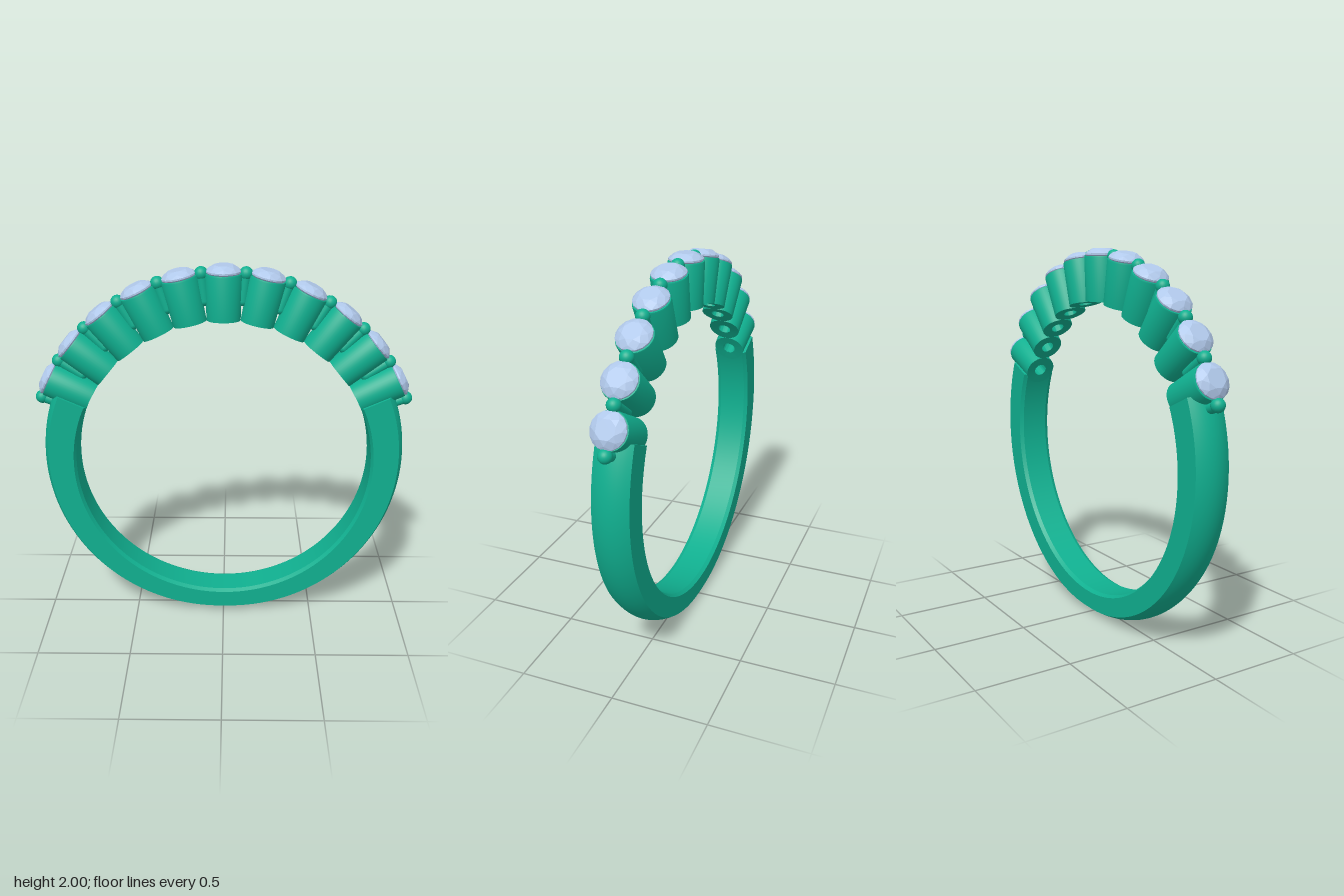
import * as THREE from 'three';
import { toCreasedNormals } from 'three/addons/utils/BufferGeometryUtils.js';
import { ConvexGeometry } from 'three/addons/geometries/ConvexGeometry.js';

const CENTRE_Y = 0.932;      // centre of the finger hole
const INNER = 0.793;         // finger hole radius
const STEP = THREE.MathUtils.degToRad(12.6);  // angle between stones
const STONES = 11;
const END = THREE.MathUtils.degToRad(65.5);   // where the band meets the end settings

// Band cross-section as [radius, z], flat inside, domed outside
function bandSection(outer) {
  const pts = [[INNER, -0.075], [INNER, 0.075], [INNER + 0.012, 0.096]];
  const n = 10;
  for (let i = 0; i <= n; i++) {
    const u = 1 - 2 * i / n;
    pts.push([outer - 0.032 * u * u, 0.096 * u]);
  }
  pts.push([INNER + 0.012, -0.096]);
  return pts;
}

// Open band sweeping under the finger, thicker towards its ends
function bandGeometry() {
  const rings = 120, pos = [], idx = [];
  let m = 0;
  for (let i = 0; i <= rings; i++) {
    const a = END + (2 * Math.PI - 2 * END) * i / rings;
    const t = Math.abs(2 * i / rings - 1);
    const section = bandSection(0.93 + 0.05 * t);
    m = section.length;
    for (const [r, z] of section) pos.push(Math.sin(a) * r, Math.cos(a) * r, z);
  }
  for (let i = 0; i < rings; i++) {
    for (let j = 0; j < m; j++) {
      const p = i * m + j, q = i * m + (j + 1) % m;
      idx.push(p, p + m, q, q, p + m, q + m);
    }
  }
  // End caps
  const last = rings * m;
  for (let j = 1; j < m - 1; j++) {
    idx.push(0, j, j + 1, last, last + j + 1, last + j);
  }
  const g = new THREE.BufferGeometry();
  g.setAttribute('position', new THREE.Float32BufferAttribute(pos, 3));
  g.setIndex(idx);
  return toCreasedNormals(g, 0.5);
}

// Tapered cup with a drilled hole, its foot curved to the finger hole
function settingGeometry() {
  const profile = [
    [0.036, 0.79], [0.087, 0.79], [0.094, 1.018], [0.092, 1.024],
    [0.084, 1.024], [0.036, 0.94], [0.036, 0.79],
  ].map(([r, y]) => new THREE.Vector2(r, y));
  const g = new THREE.LatheGeometry(profile, 40);
  const p = g.attributes.position;
  for (let i = 0; i < p.count; i++) {
    if (p.getY(i) < 0.8) p.setY(i, Math.sqrt((INNER - 0.002) ** 2 - p.getX(i) ** 2));
  }
  g.deleteAttribute('normal');
  g.deleteAttribute('uv');
  return toCreasedNormals(g, 0.6);
}

// Round faceted stone
function stoneGeometry() {
  const pts = [new THREE.Vector3(0, 0.95, 0)];
  const ring = (n, r, y, turn) => {
    for (let i = 0; i < n; i++) {
      const a = (i + turn) / n * Math.PI * 2;
      pts.push(new THREE.Vector3(Math.cos(a) * r, y, Math.sin(a) * r));
    }
  };
  ring(16, 0.09, 1.03, 0);
  ring(16, 0.09, 1.038, 0);
  ring(8, 0.073, 1.054, 0);
  ring(8, 0.05, 1.066, 0.5);
  return new ConvexGeometry(pts);
}

export function createModel() {
  const metal = new THREE.MeshStandardMaterial({ color: 0x10b090 });
  const gem = new THREE.MeshStandardMaterial({ color: 0xb0c8ea, flatShading: true });

  const model = new THREE.Group();
  model.name = 'ring';
  const ring = new THREE.Group();
  ring.name = 'ringBody';
  ring.position.y = CENTRE_Y;
  model.add(ring);

  const add = (parent, geometry, material, name, y = 0) => {
    const mesh = new THREE.Mesh(geometry, material);
    mesh.name = name;
    mesh.position.y = y;
    parent.add(mesh);
  };
  // Group whose +y points outwards at the given angle from the top
  const radial = (angle, name) => {
    const g = new THREE.Group();
    g.name = name;
    g.rotation.z = -angle;
    ring.add(g);
    return g;
  };

  add(ring, bandGeometry(), metal, 'band');

  // Stones in their settings
  const setting = settingGeometry(), stone = stoneGeometry();
  for (let i = 0; i < STONES; i++) {
    const g = radial((i - (STONES - 1) / 2) * STEP, 'stoneSetting');
    add(g, setting, metal, 'setting');
    add(g, stone, gem, 'stone');
  }

  // Prongs between neighbouring stones and beyond the end ones
  const shaft = new THREE.CapsuleGeometry(0.028, 0.13, 6, 20);
  const tip = new THREE.SphereGeometry(0.035, 20, 14);
  for (let i = 0; i <= STONES; i++) {
    const g = radial((i - STONES / 2) * STEP, 'prong');
    add(g, shaft, metal, 'prongShaft', 0.955);
    add(g, tip, metal, 'prongTip', 1.029);
  }
  return model;
}
